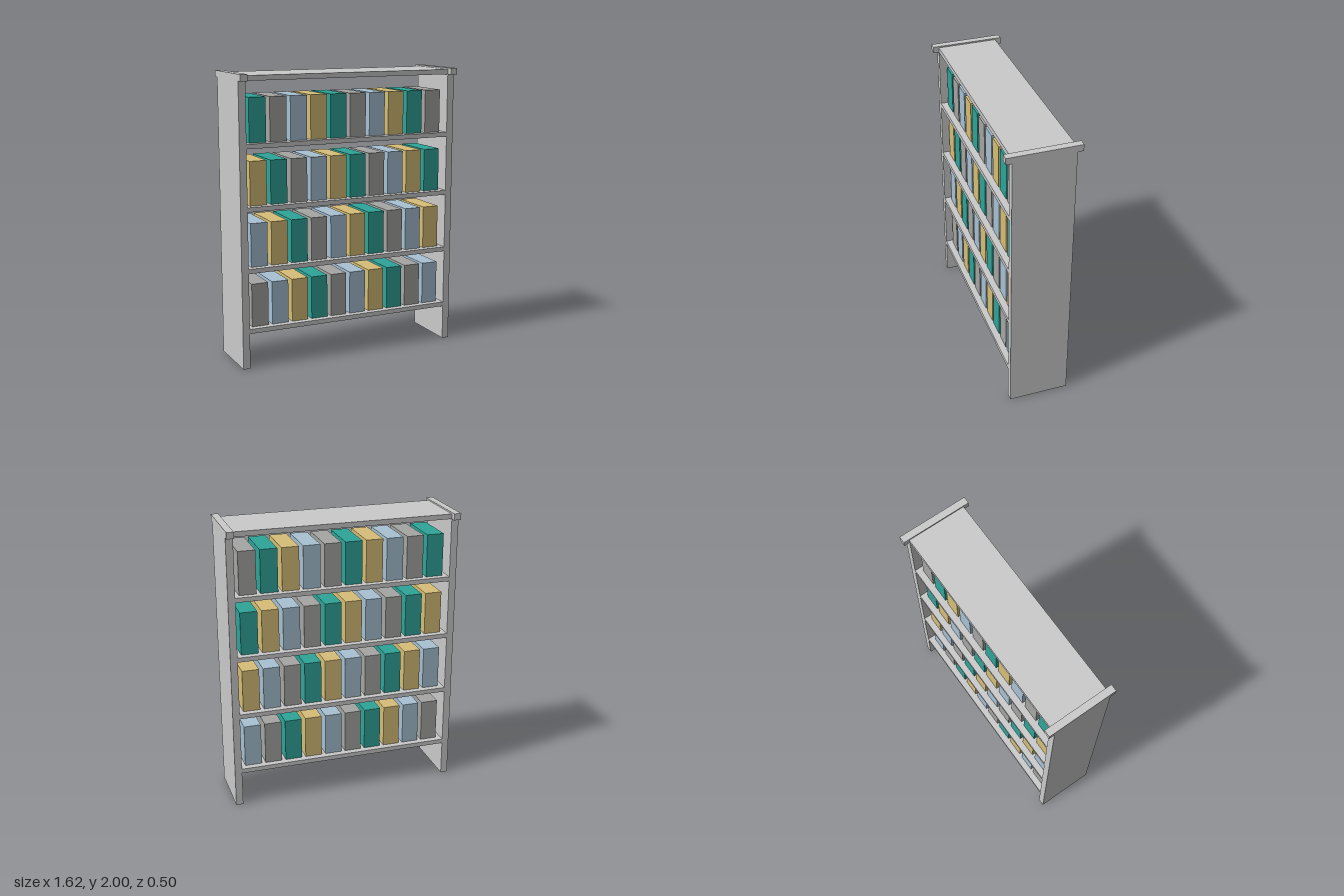
import * as THREE from 'three';

const paint = (color) => new THREE.MeshStandardMaterial({ color });

// Box given by its lower and upper corners
function block(parent, name, material, [x0, y0, z0], [x1, y1, z1]) {
  const mesh = new THREE.Mesh(new THREE.BoxGeometry(x1 - x0, y1 - y0, z1 - z0), material);
  mesh.position.set((x0 + x1) / 2, (y0 + y1) / 2, (z0 + z1) / 2);
  mesh.name = name;
  parent.add(mesh);
  return mesh;
}

export function createModel() {
  const model = new THREE.Group();
  model.name = 'bookcase';
  const grey = paint(0xcccccc);
  const covers = [0x2fa59a, 0xa6a6a4, 0xa8c2d4, 0xd8bf78].map(paint); // teal, grey, blue, gold

  const inner = 0.76, outer = 0.81, depth = 0.21;

  // Side panels, each with a longer cap rail on top
  for (const [side, x0, x1] of [['left', inner, outer], ['right', -outer, -inner]]) {
    block(model, `${side}Panel`, grey, [x0, 0, -depth], [x1, 1.955, depth]);
    block(model, `${side}CapRail`, grey, [x0, 1.955, -0.25], [x1, 2, 0.25]);
  }

  // Top board
  block(model, 'topBoard', grey, [-inner, 1.955, -depth], [inner, 1.99, depth]);

  // Shelves from top to bottom, each with a row of evenly spaced books
  const bookWidth = 0.12, bookHeight = 0.302, bookDepth = 0.165, count = 10;
  [1.543, 1.12, 0.699, 0.279].forEach((top, row) => {
    const shelf = new THREE.Group();
    shelf.name = `shelfRow${row + 1}`;
    model.add(shelf);
    block(shelf, 'shelf', grey, [-inner, top - 0.032, -depth], [inner, top, depth]);

    for (let i = 0; i < count; i++) {
      const x = -0.725 + i * (1.45 - bookWidth) / (count - 1);
      // The colour cycle shifts by one on every shelf
      const cover = covers[(i - row + 4) % 4];
      block(shelf, 'book', cover, [x, top, -bookDepth], [x + bookWidth, top + bookHeight, bookDepth]);
    }
  });

  return model;
}
